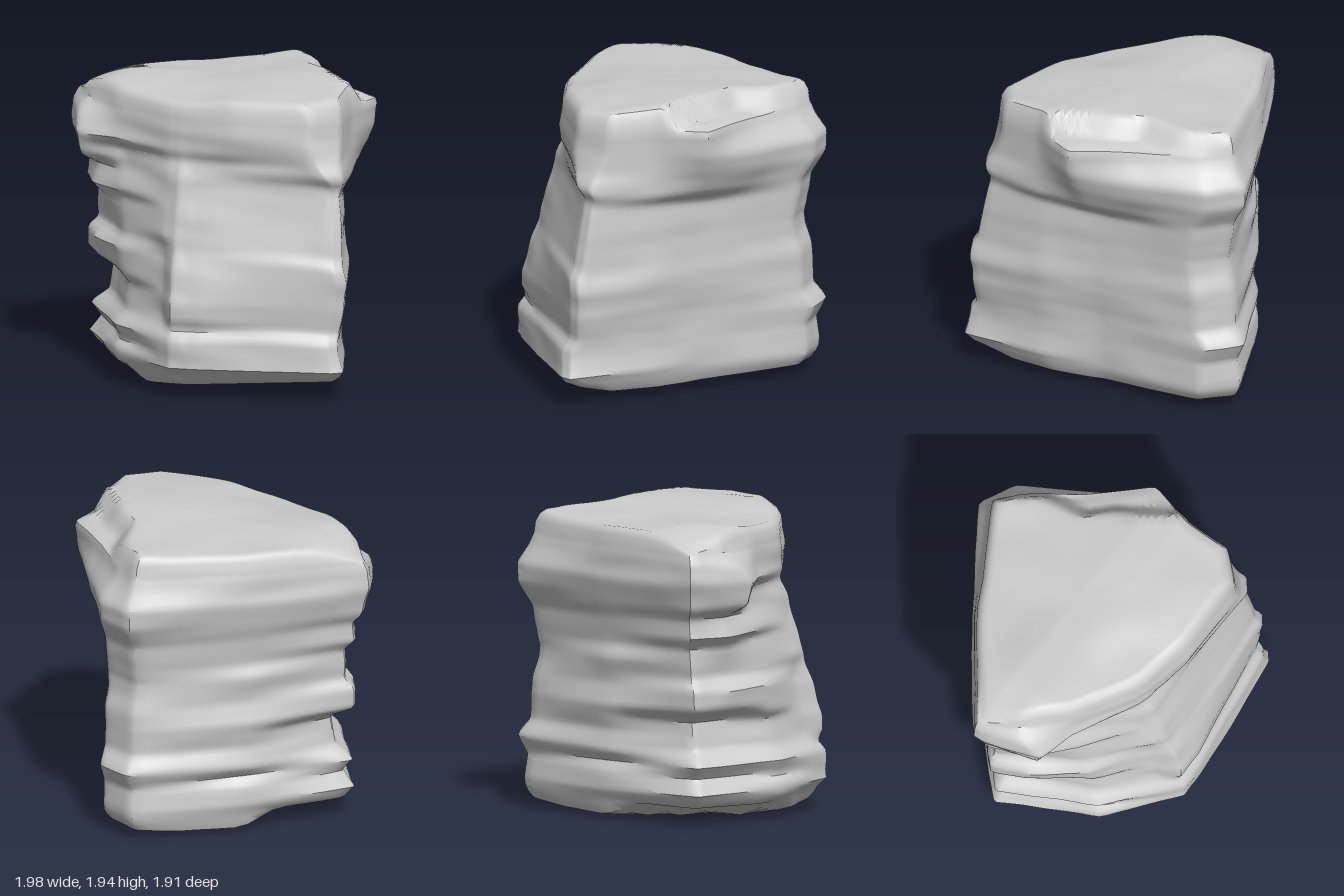
import * as THREE from 'three';
import { toCreasedNormals } from 'three/addons/utils/BufferGeometryUtils.js';

// Height profiles [y, value] that carve the rock layers at each corner
const leftX = [[0.12, -0.8], [0.2, -0.87], [0.3, -0.79], [0.38, -0.86], [0.47, -0.75], [0.66, -0.72], [0.73, -0.89],
  [0.86, -0.89], [0.93, -0.81], [1.12, -0.83], [1.19, -0.91], [1.31, -0.89], [1.38, -0.96], [1.55, -1], [1.68, -1], [1.74, -0.97]];
const leftMidZ = [[0.12, 0.2], [0.3, 0.2], [0.7, 0.2], [0.85, 0.26], [0.93, 0.2], [1.19, 0.25], [1.32, 0.22],
  [1.4, 0.36], [1.55, 0.4], [1.65, 0.32], [1.74, 0.2]];
const leftFrontOut = [[0.12, 0.0], [0.16, 0.06], [0.24, 0.07], [0.28, 0.02], [0.38, 0.06], [0.46, -0.03], [0.62, -0.05], [0.68, 0.01],
  [0.85, 0.04], [0.92, -0.03], [1.15, -0.05], [1.2, 0.0], [1.34, -0.06], [1.46, -0.06], [1.53, 0.05], [1.74, 0.0]];
const frontZ = [[0.12, 0.87], [0.2, 0.96], [0.38, 0.94], [0.43, 0.9], [0.5, 0.93], [0.6, 0.925], [0.7, 0.9], [0.87, 0.85],
  [0.92, 0.83], [1.05, 0.79], [1.3, 0.72], [1.46, 0.7], [1.53, 0.74], [1.65, 0.75], [1.74, 0.73]];
const stepDepth = [[0.2, 0.07], [0.42, 0.06], [0.5, 0.13], [0.85, 0.12], [0.98, 0.05], [1.2, 0.06], [1.52, 0.04]];
const cornerX = [[0.12, 0.92], [0.2, 0.99], [0.32, 0.95], [0.44, 0.94], [0.6, 0.98], [0.75, 1], [0.9, 0.97],
  [1.1, 0.95], [1.3, 0.92], [1.38, 0.95], [1.5, 0.91], [1.74, 0.91]];
const cornerZ = [[0.12, 0.76], [0.2, 0.82], [0.38, 0.8], [0.43, 0.76], [0.85, 0.77], [0.91, 0.74], [1.34, 0.66],
  [1.42, 0.71], [1.6, 0.71], [1.74, 0.69]];
const rightX = [[0.12, 0.67], [0.55, 0.69], [0.7, 0.72], [1.26, 0.71], [1.34, 0.82], [1.48, 0.91], [1.6, 0.96], [1.74, 0.97]];
const backZ = [[0.12, -0.91], [0.2, -0.92], [0.35, -0.9], [0.48, -0.96], [0.58, -0.88], [0.75, -0.88], [0.9, -0.85],
  [1.05, -0.82], [1.2, -0.86], [1.3, -0.87], [1.45, -0.96], [1.56, -0.97], [1.66, -0.9], [1.74, -0.86]];
const backLeftOut = [[0.12, -0.04], [0.18, 0.0], [0.32, -0.01], [0.37, -0.05], [0.44, 0.0], [0.58, -0.04], [0.74, 0.0],
  [0.88, -0.04], [1.04, -0.02], [1.12, -0.05], [1.3, -0.03], [1.4, 0.0], [1.55, 0.04], [1.74, 0.0]];
// Edge of the upper plateau [z, x], above the back right shelf
const scarpX = [[-0.9, 0.2], [-0.6, 0.44], [-0.32, 0.49], [-0.2, 0.62], [-0.05, 0.71], [0.1, 0.82], [0.25, 1]];

function sample(table, y) {
  if (y <= table[0][0]) return table[0][1];
  for (let i = 1; i < table.length; i++) {
    const [y0, v0] = table[i - 1], [y1, v1] = table[i];
    if (y <= y1) return THREE.MathUtils.lerp(v0, v1, (y - y0) / (y1 - y0));
  }
  return table[table.length - 1][1];
}

// Smooth seeded noise in -1..1
function hash(i, j, k) {
  const s = Math.sin(i * 127.1 + j * 311.7 + k * 74.7) * 43758.5453;
  return (s - Math.floor(s)) * 2 - 1;
}
function noise(x, y, z) {
  const [i, j, k] = [x, y, z].map(Math.floor);
  const [u, v, w] = [x - i, y - j, z - k].map(t => t * t * (3 - 2 * t));
  let sum = 0;
  for (let c = 0; c < 8; c++) {
    const a = c & 1, b = (c >> 1) & 1, d = c >> 2;
    sum += hash(i + a, j + b, k + d) * (a ? u : 1 - u) * (b ? v : 1 - v) * (d ? w : 1 - w);
  }
  return sum;
}

// Rounded polygon through the corners at height y, counter-clockwise from above
function outline(y) {
  const lx = sample(leftX, y), lf = sample(leftFrontOut, y), fz = sample(frontZ, y);
  const cx = sample(cornerX, y), cz = sample(cornerZ, y), rx = sample(rightX, y);
  const bl = sample(backLeftOut, y), bz = sample(backZ, y);
  const up = THREE.MathUtils.smoothstep(y, 0.3, 1.6);
  const slab = THREE.MathUtils.smoothstep(y, 1.3, 1.65);
  const shelf = THREE.MathUtils.smoothstep(y, 1.55, 1.74);
  const corners = [
    [lx, 0.04 - 0.06 * up],
    [lx + 0.09 + 0.05 * up, sample(leftMidZ, y)],
    [-0.5 - 0.08 * up - 0.6 * lf, 0.58 - 0.16 * up + 0.7 * lf],
    [-0.19, fz - sample(stepDepth, y) - 0.06 * slab],
    [-0.1, fz - 0.07 * slab],
    [0.1 + 0.15 * slab, fz - 0.005],
    [cx - 0.06 - 0.1 * slab, cz + 0.01],
    [cx, cz - 0.04 - 0.12 * slab],
    [Math.min(0.89, (cx + rx) / 2 + 0.02), 0.23],
    [rx, -0.1],
    [(rx + 0.5) / 2 - 0.08 * shelf, (bz + 0.02) / 2],
    [0.5 - 0.08 * shelf, bz + 0.12],
    [0.26, bz],
    [-0.37 - 0.6 * bl, -0.48 - 0.8 * bl],
  ].map(p => new THREE.Vector2(...p));
  const n = corners.length, points = [];
  corners.forEach((p, i) => {
    const prev = corners[(i + n - 1) % n], next = corners[(i + 1) % n];
    const a = p.clone().lerp(prev, 0.12), b = p.clone().lerp(next, 0.12), end = next.clone().lerp(p, 0.12);
    points.push(a, a.clone().add(b).multiplyScalar(0.15).addScaledVector(p, 0.7));
    for (let k = 0; k < 5; k++) points.push(b.clone().lerp(end, k / 5));
  });
  return points;
}

// Top surface, falling away at the left and front, with a lower shelf at the back right
function topHeight(x, z) {
  const shelf = THREE.MathUtils.smoothstep(x - sample(scarpX, z), -0.04, 0.12);
  return 1.885 + 0.045 * THREE.MathUtils.smoothstep(x, -0.3, 0.5) - 0.9 * Math.max(0, -0.55 - x) ** 2
    - 0.1 * Math.max(0, z - 0.2) - 0.06 * Math.max(0, -z) - 0.13 * shelf + 0.01 * noise(x * 4, 2, z * 4);
}

// Underside, chamfered at the front, stepped up at the left and rising at the sides
function bottomHeight(x, z) {
  return 0.22 * Math.max(0, z - 0.5) + 0.08 * Math.max(0, x) + 0.05 * Math.max(0, -z)
    + 0.1 * THREE.MathUtils.smoothstep(-x, 0.28, 0.5) + 0.04 * Math.max(0, -0.4 - x);
}

function rockGeometry() {
  const rings = [];
  const scaled = (ring, s, height) => ring.map(p => {
    const x = p.x * s, z = p.z * s;
    return new THREE.Vector3(x, height(x, z, p.y), z);
  });

  // Layered walls, with strata that tilt and wander
  const rows = 64, y0 = 0.15, y1 = 1.74;
  for (let j = 0; j <= rows; j++) {
    const y = y0 + (y1 - y0) * j / rows, fade = Math.sin(Math.PI * j / rows);
    rings.push(outline(y).map(p => {
      const strata = noise(p.x * 2 + 5, y * 9 + p.x, p.y * 2 + 9);
      const chips = noise(p.x * 5, y * 6, p.y * 5);
      const s = 1 + (p.x > 0 ? 0.5 : 0.8) * (0.02 * strata + 0.014 * chips);
      const lift = fade * (0.035 * noise(p.x * 1.8, 3, p.y * 1.8) + 0.02 * p.y);
      return new THREE.Vector3(p.x * s, y + lift, p.y * s);
    }));
  }

  // Underside and top close the walls with shrinking rings
  const low = rings[0], high = rings[rows];
  const bottom = [0, 0.3, 0.6, 0.85, 0.94].map(s => scaled(low, s, bottomHeight));
  bottom.push(scaled(low, 0.98, (x, z, y) => (bottomHeight(x, z) + y) / 2));
  const top = [scaled(high, 0.99, (x, z, y) => THREE.MathUtils.lerp(y, topHeight(x, z), 0.6))];
  for (const s of [0.96, 0.92, 0.88, 0.84, 0.8, 0.76, 0.72, 0.68, 0.6, 0.5, 0.35, 0.18, 0])
    top.push(scaled(high, s, (x, z) => topHeight(x, z) - (s > 0.93 ? 0.015 : 0)));
  const all = [...bottom, ...rings, ...top];

  const n = low.length, index = [];
  for (let j = 0; j < all.length - 1; j++) {
    for (let i = 0; i < n; i++) {
      const a = j * n + i, b = j * n + (i + 1) % n;
      if (j > 0) index.push(a, b, a + n);
      if (j < all.length - 2) index.push(b, b + n, a + n);
    }
  }
  const geometry = new THREE.BufferGeometry().setFromPoints(all.flat());
  geometry.setIndex(index);
  return toCreasedNormals(geometry, 0.7);
}

export function createModel() {
  const group = new THREE.Group();
  group.name = 'rock';
  const boulder = new THREE.Mesh(rockGeometry(), new THREE.MeshStandardMaterial({ color: 0xcccccc }));
  boulder.name = 'layeredBoulder';
  group.add(boulder);
  return group;
}
